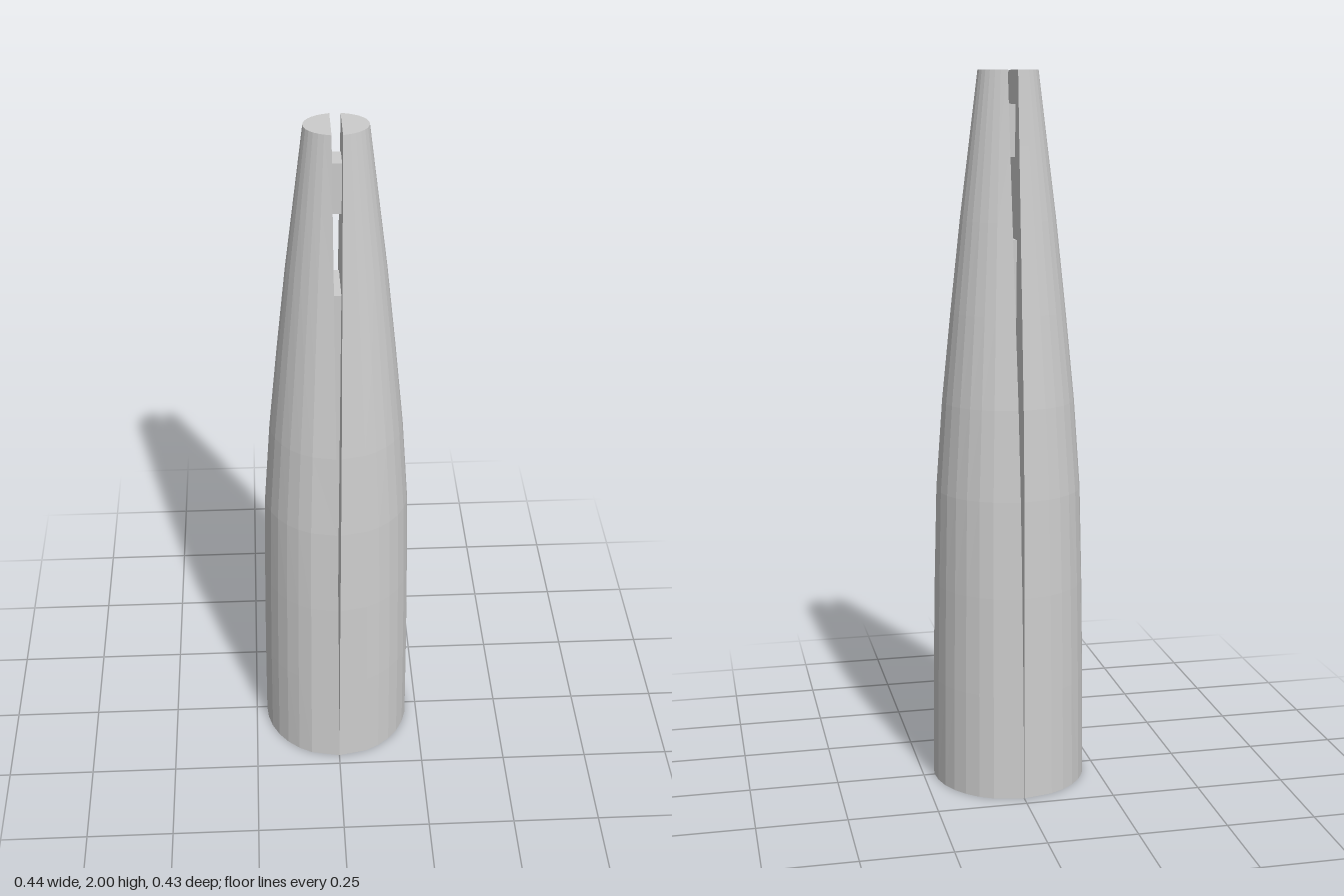
import * as THREE from 'three';

const material = new THREE.MeshStandardMaterial({ color: 0xcccccc, flatShading: true });

// Levels up the tower: height, half width in x, half depth in z, half width of the slit
const LEVELS = [
  [0, 0.218, 0.217, 0.0005],
  [0.3, 0.215, 0.21, 0.001],
  [0.58, 0.21, 0.202, 0.003],
  [0.85, 0.203, 0.189, 0.005],
  [1.1, 0.185, 0.169, 0.007],
  [1.35, 0.16, 0.139, 0.009],
  [1.6, 0.133, 0.109, 0.011],
  [1.8, 0.108, 0.085, 0.0125],
  [2, 0.083, 0.062, 0.014],
];

// Angles around one half, with a wider facet next to the slit
const ANGLES = [90];
for (let a = 67.5; a >= -67.5; a -= 11.25) ANGLES.push(a);
ANGLES.push(-90);

// One D-shaped half, lofted from its levels; side is +1 or -1 in x
function halfGeometry(side) {
  const n = ANGLES.length;
  const positions = [];
  const index = [];
  const tri = (a, b, c) => (side > 0 ? index.push(a, b, c) : index.push(a, c, b));
  for (const [y, rx, rz, slit] of LEVELS) {
    for (const angle of ANGLES) {
      const t = THREE.MathUtils.degToRad(angle);
      positions.push(side * Math.max(slit, rx * Math.cos(t)), y, rz * Math.sin(t));
    }
  }
  // Outer facets and the flat wall facing the slit
  for (let r = 0; r < LEVELS.length - 1; r++) {
    for (let i = 0; i < n; i++) {
      const a = r * n + i;
      const b = r * n + ((i + 1) % n);
      tri(a, b, b + n);
      tri(a, b + n, a + n);
    }
  }
  // Bottom and top caps
  const top = (LEVELS.length - 1) * n;
  for (let i = 1; i < n - 1; i++) {
    tri(0, i + 1, i);
    tri(top, top + i, top + i + 1);
  }
  const geometry = new THREE.BufferGeometry();
  geometry.setAttribute('position', new THREE.Float32BufferAttribute(positions, 3));
  geometry.setIndex(index);
  geometry.computeVertexNormals();
  return geometry;
}

function addMesh(group, name, geometry) {
  const mesh = new THREE.Mesh(geometry, material);
  mesh.name = name;
  group.add(mesh);
  return mesh;
}

export function createModel() {
  const tower = new THREE.Group();
  tower.name = 'splitTower';

  addMesh(tower, 'leftHalf', halfGeometry(1));
  addMesh(tower, 'rightHalf', halfGeometry(-1));

  // Blocks joining the halves inside the slit: name, bottom, top, depth in z
  const links = [
    ['upperBridge', 1.77, 1.91, 0.065],
    ['innerCore', 0.05, 1.55, 0.13],
  ];
  for (const [name, y0, y1, depth] of links) {
    const link = addMesh(tower, name, new THREE.BoxGeometry(0.03, y1 - y0, depth));
    link.position.y = (y0 + y1) / 2;
  }
  return tower;
}
